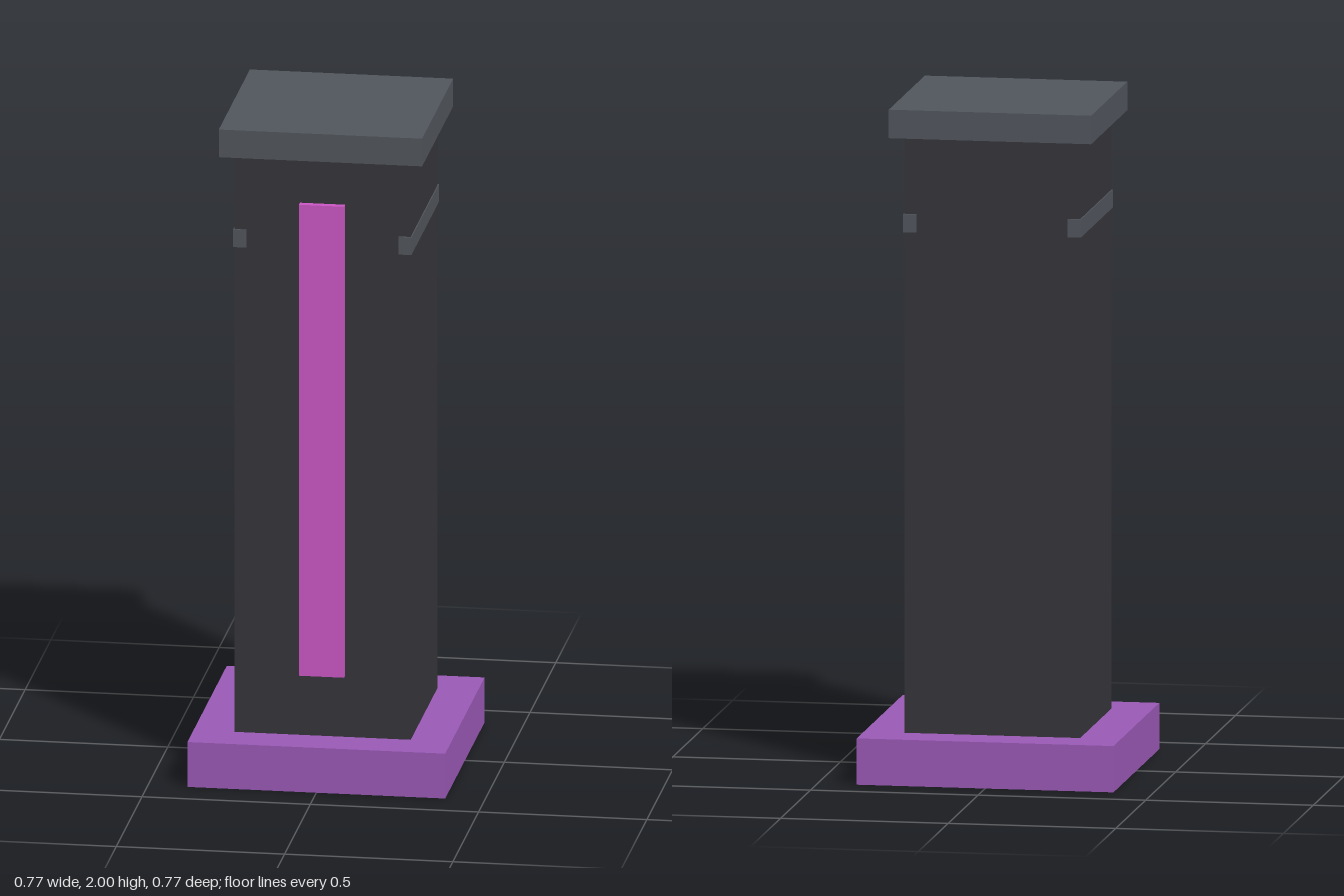
import * as THREE from 'three';

const paint = (name, color) => {
  const m = new THREE.MeshStandardMaterial({ color });
  m.name = name;
  return m;
};

export function createModel() {
  const model = new THREE.Group();
  model.name = 'pillar';
  const purple = paint('purple', 0x9b59b6);
  const charcoal = paint('charcoal', 0x36353a);
  const slate = paint('slate grey', 0x51565d);
  const pink = paint('pink', 0xcb56c4);

  // Box given by its lower and upper corners
  const block = (name, material, [x0, y0, z0], [x1, y1, z1]) => {
    const mesh = new THREE.Mesh(new THREE.BoxGeometry(x1 - x0, y1 - y0, z1 - z0), material);
    mesh.position.set((x0 + x1) / 2, (y0 + y1) / 2, (z0 + z1) / 2);
    mesh.name = name;
    model.add(mesh);
  };

  block('base', purple, [-0.383, 0, -0.383], [0.383, 0.138, 0.383]);
  block('column', charcoal, [-0.262, 0.138, -0.262], [0.262, 1.915, 0.262]);
  block('cap', slate, [-0.302, 1.915, -0.302], [0.302, 2, 0.302]);

  // Upright glowing strip on the front
  block('frontStrip', pink, [-0.067, 0.326, 0.255], [0.067, 1.774, 0.283]);

  // Side bands, wrapping just past the column's front and back corners
  block('leftBand', slate, [0.226, 1.63, -0.268], [0.265, 1.684, 0.268]);
  block('rightBand', slate, [-0.265, 1.63, -0.268], [-0.226, 1.684, 0.268]);

  return model;
}
